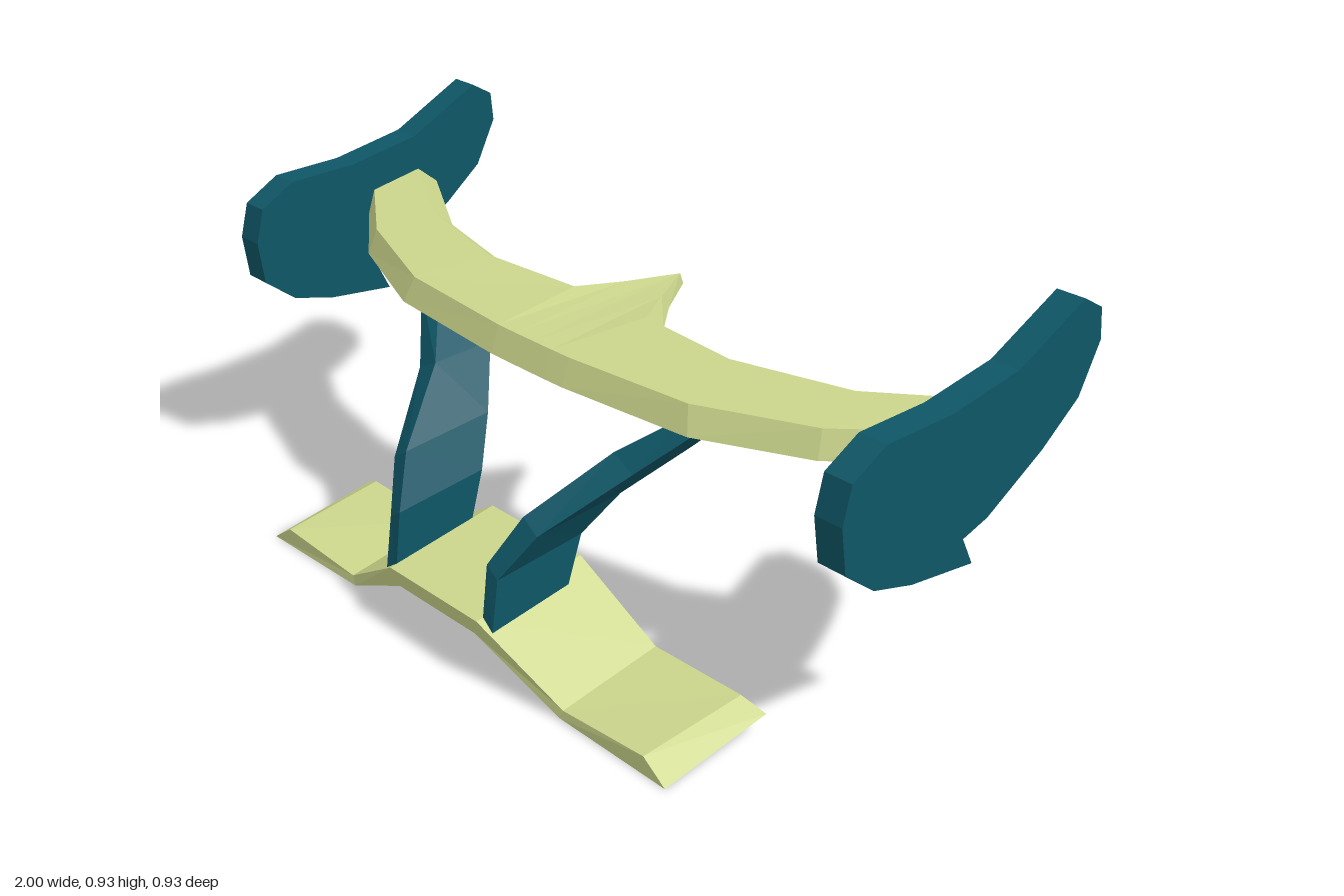
import * as THREE from 'three';

const olive = new THREE.MeshStandardMaterial({ color: 0xccd68c });
olive.name = 'pale olive';
const teal = new THREE.MeshStandardMaterial({ color: 0x0f5666 });
teal.name = 'deep teal';

// Faceted solid through four-cornered sections, closed at both ends
function loft(sections) {
  const pos = [];
  const quad = (a, b, c, d) => pos.push(...a, ...b, ...c, ...a, ...c, ...d);
  for (let s = 0; s < sections.length - 1; s++) {
    const a = sections[s], b = sections[s + 1];
    for (let i = 0; i < 4; i++) {
      const j = (i + 1) % 4;
      quad(a[i], b[i], b[j], a[j]);
    }
  }
  quad(...sections[0]);
  quad(...[...sections[sections.length - 1]].reverse());
  const g = new THREE.BufferGeometry();
  g.setAttribute('position', new THREE.Float32BufferAttribute(pos, 3));
  g.computeVertexNormals();
  return g;
}

const flip = ([x, y, z]) => [-x, y, z];

// Half of a span (from x >= 0 outwards) completed with its mirror image
function symmetric(half) {
  const other = half.filter((s) => s[0][0] > 0).map((s) => s.map(flip)).reverse();
  return [...other, ...half];
}

function add(group, name, geometry, material) {
  const mesh = new THREE.Mesh(geometry, material);
  mesh.name = name;
  group.add(mesh);
}

export function createModel() {
  const model = new THREE.Group();
  model.name = 'frontWing';

  // Main wing: front low, front high, back high, back low; pointed at the centre rear
  const wing = [
    [[0, 0.615, 0.195], [0, 0.677, 0.172], [0, 0.722, -0.262], [0, 0.695, -0.272]],
    [[0.06, 0.615, 0.195], [0.06, 0.677, 0.172], [0.06, 0.714, -0.15], [0.06, 0.68, -0.172]],
    [[0.12, 0.615, 0.194], [0.12, 0.677, 0.171], [0.12, 0.71, -0.048], [0.12, 0.665, -0.1]],
    [[0.48, 0.62, 0.167], [0.46, 0.682, 0.147], [0.4, 0.71, -0.027], [0.4, 0.665, -0.083]],
    [[0.75, 0.637, 0.072], [0.74, 0.698, 0.052], [0.695, 0.72, -0.09], [0.695, 0.675, -0.144]],
    [[0.935, 0.66, -0.062], [0.935, 0.72, -0.082], [0.935, 0.745, -0.22], [0.935, 0.7, -0.277]],
  ];
  add(model, 'mainWing', loft(symmetric(wing)), olive);

  // Cranked lower plate with bevelled tips
  const plate = [
    [[0.135, 0.118, 0.455], [0.155, 0.16, 0.465], [0.155, 0.215, 0.172], [0.135, 0.17, 0.155]],
    [[0.37, 0.003, 0.417], [0.38, 0.025, 0.415], [0.38, 0.077, 0.152], [0.37, 0.055, 0.135]],
    [[0.7, 0, 0.42], [0.635, 0.045, 0.42], [0.645, 0.083, 0.155], [0.7, 0.055, 0.135]],
  ];
  add(model, 'lowerPlate', loft(symmetric(plate)), olive);

  // Struts: [inner x, outer x, front y, front z, back y, back z, mitre]
  const strut = [
    [0.155, 0.19, 0.135, 0.45, 0.17, 0.24, 0],
    [0.155, 0.19, 0.275, 0.433, 0.305, 0.2, 0.012],
    [0.205, 0.25, 0.385, 0.373, 0.41, 0.14, 0.015],
    [0.305, 0.365, 0.52, 0.21, 0.53, 0.05, 0.015],
    [0.42, 0.485, 0.63, 0.11, 0.64, -0.02, 0],
  ].map(([xi, xo, yf, zf, yb, zb, m]) => [
    [xi, yf + m, zf], [xi, yb + m, zb], [xo, yb - m, zb], [xo, yf - m, zf],
  ]);
  add(model, 'leftStrut', loft(strut), teal);
  add(model, 'rightStrut', loft(strut.map((s) => s.map(flip).reverse())), teal);

  // End plates: side outline as (z, y) extruded across x
  const outline = [
    [-0.4, 0.93], [-0.457, 0.897], [-0.465, 0.825], [-0.41, 0.715],
    [-0.307, 0.632], [-0.15, 0.535], [-0.08, 0.512], [-0.113, 0.447],
    [0.065, 0.465], [0.175, 0.493], [0.257, 0.555], [0.273, 0.66],
    [0.252, 0.743], [0.163, 0.794], [-0.018, 0.799], [-0.21, 0.833],
  ].map(([z, y]) => new THREE.Vector2(-z, y));
  const endPlate = new THREE.ExtrudeGeometry(new THREE.Shape(outline), {
    depth: 0.07, bevelEnabled: false,
  }).rotateY(Math.PI / 2);
  add(model, 'leftEndPlate', endPlate.clone().translate(0.93, 0, 0), teal);
  add(model, 'rightEndPlate', endPlate.clone().translate(-1, 0, 0), teal);

  return model;
}
